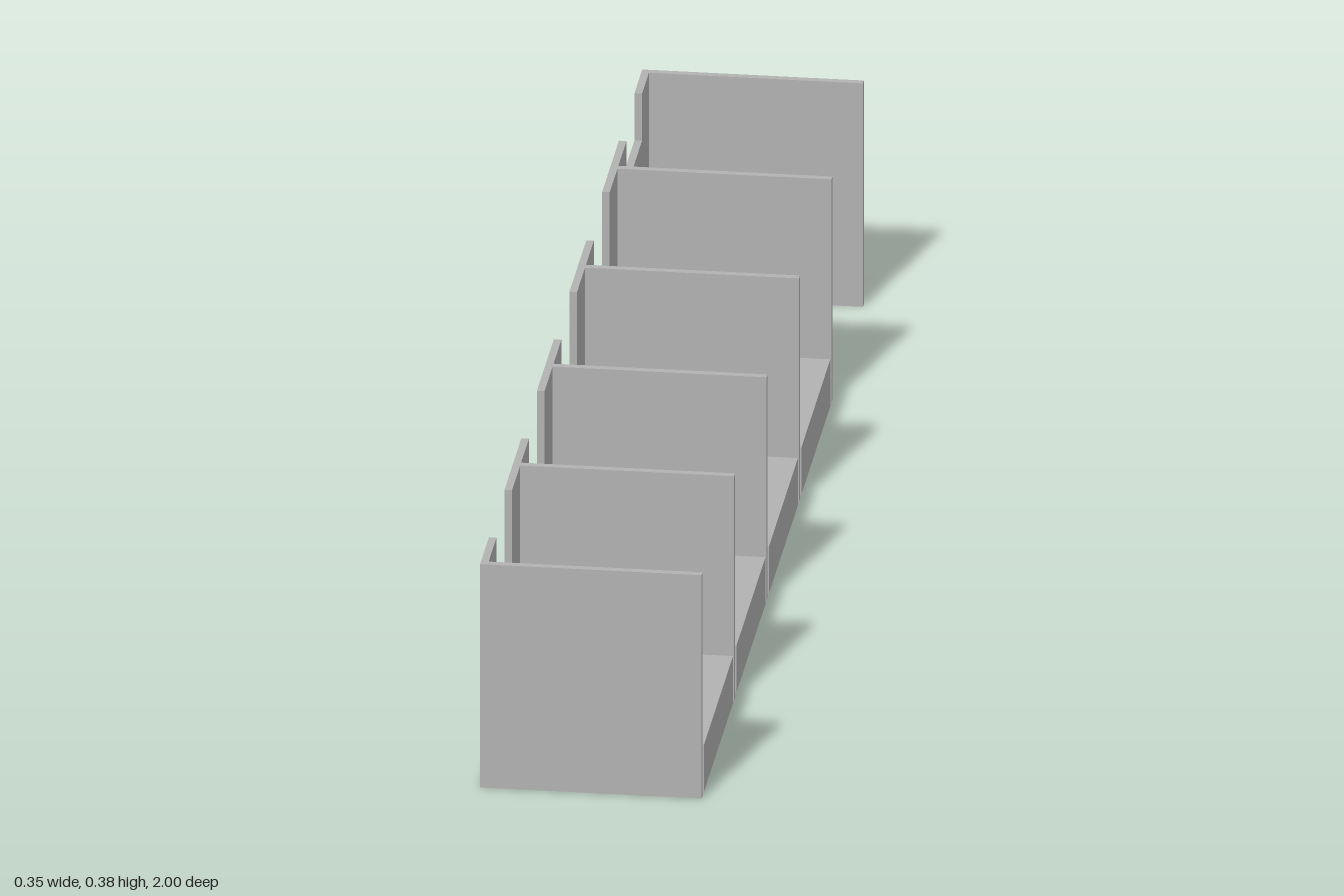
import * as THREE from 'three';

export function createModel() {
  const model = new THREE.Group();
  const grey = new THREE.MeshStandardMaterial({ color: 0xb2b2b2 });
  grey.name = 'plain grey';

  const H = 0.38;      // wall height
  const T = 0.012;     // panel thickness
  const X = 0.175;     // half depth of the stalls

  // Box given by its extents, with its base on the ground
  function block(name, x0, x1, z0, z1, height) {
    const mesh = new THREE.Mesh(new THREE.BoxGeometry(x1 - x0, height, z1 - z0), grey);
    mesh.position.set((x0 + x1) / 2, height / 2, (z0 + z1) / 2);
    mesh.name = name;
    model.add(mesh);
  }

  // Partitions across the row
  const partitions = [0.994, 0.594, 0.194, -0.206, -0.606, -0.994];
  partitions.forEach((z) => block('partition', -X + T, X, z - T / 2, z + T / 2, H));

  // Wall pieces standing either side of the first four partitions, leaving doorways
  partitions.slice(0, 4).forEach((z) =>
    block('doorwayWall', -X, -X + T, z - 0.103, Math.min(z + 0.105, 1), H));

  // Low counters between partitions on the open side
  partitions.slice(0, 4).forEach((z) =>
    block('counter', 0.07, X, z - 0.38, z - 0.022, 0.08));

  // Closed wall of the end room, with a notch in its top edge
  const outline = [
    [0.505, 0], [1, 0], [1, H], [0.904, H],
    [0.904, 0.3], [0.712, 0.3], [0.712, H], [0.505, H],
  ].map(([u, y]) => new THREE.Vector2(u, y));
  const wall = new THREE.Mesh(
    new THREE.ExtrudeGeometry(new THREE.Shape(outline), { depth: T, bevelEnabled: false }), grey);
  wall.name = 'notchedEndWall';
  wall.rotation.y = Math.PI / 2; // outline runs towards -z, thickness towards +x
  wall.position.x = -X;
  model.add(wall);

  return model;
}
